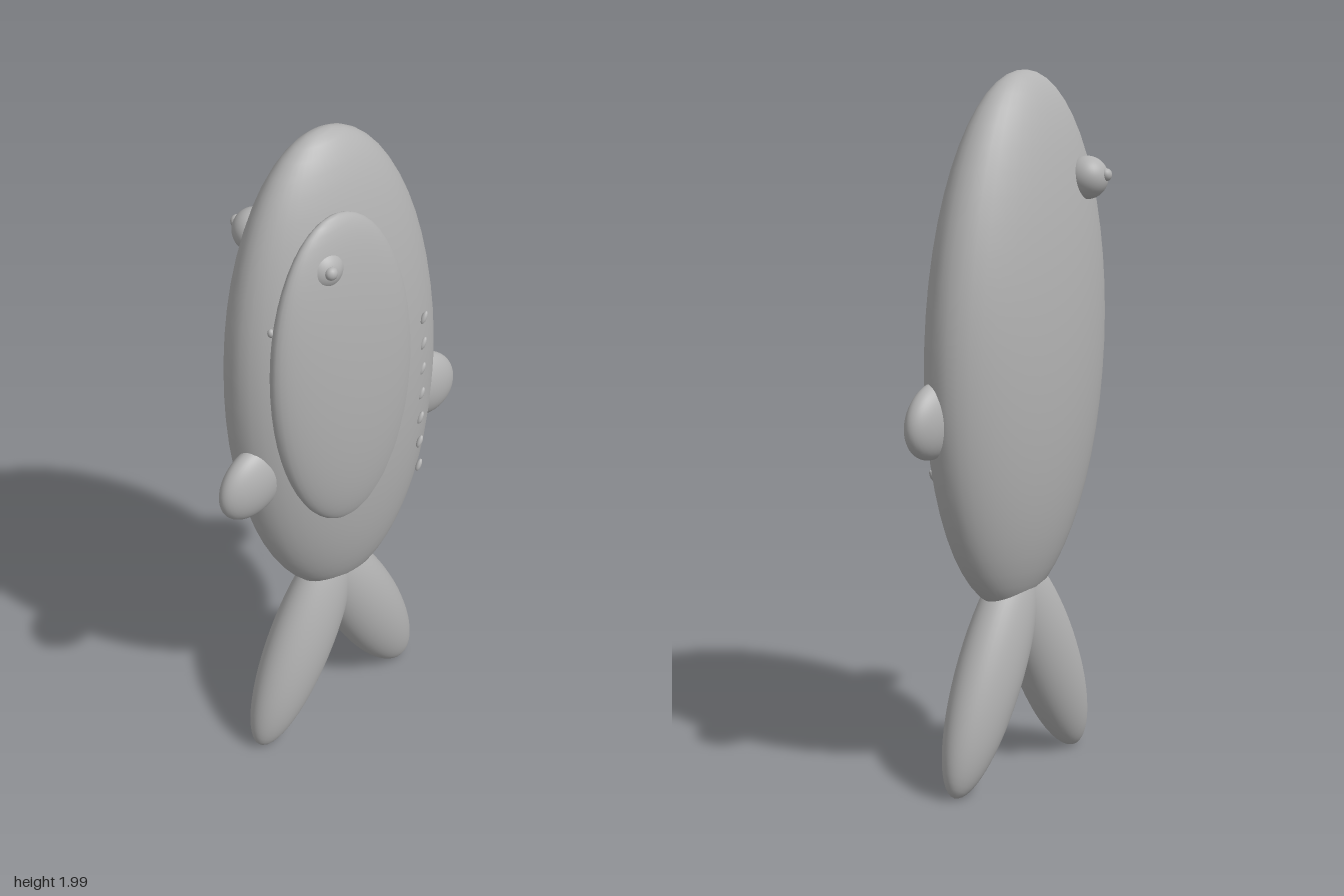
import * as THREE from 'three';

const grey = new THREE.MeshStandardMaterial({ color: 0xb2b2b2 });
grey.name = 'grey';
const unitSphere = new THREE.SphereGeometry(1, 40, 28);
const smallSphere = new THREE.SphereGeometry(1, 16, 12);

// Ellipsoid with half sizes, tilted about z
function ellipsoid(name, center, half, tilt = 0, geometry = unitSphere) {
  const mesh = new THREE.Mesh(geometry, grey);
  mesh.name = name;
  mesh.position.set(...center);
  mesh.scale.set(...half);
  mesh.rotation.z = tilt;
  return mesh;
}

export function createModel() {
  const model = new THREE.Group();
  model.name = 'fish';

  // Flattened upright body and the raised face on its front
  model.add(ellipsoid('body', [0, 1.25, 0], [0.357, 0.75, 0.17], 0.06));
  model.add(ellipsoid('facePatch', [-0.075, 1.34, 0.12], [0.248, 0.495, 0.071], 0.09));

  // Side fins and tail lobes, mirrored
  for (const s of [1, -1]) {
    const side = s > 0 ? 'left' : 'right';
    model.add(ellipsoid(side + 'Fin', [s * 0.325, 1.07, 0.036], [0.121, 0.099, 0.053], -s * 0.57));
    model.add(ellipsoid(side + 'TailLobe', [s * 0.125, 0.342, 0], [0.115, 0.3755, 0.085], s * 0.479));
  }

  // An eye with its pupil on each flat side
  for (const s of [1, -1]) {
    const side = s > 0 ? 'front' : 'back';
    const z = s > 0 ? 0.118 : -0.126;
    model.add(ellipsoid(side + 'Eye', [-0.155, 1.705, z], [0.06, 0.06, 0.06]));
    model.add(ellipsoid(side + 'Pupil', [-0.168, 1.713, z + s * 0.055], [0.018, 0.018, 0.016], 0, smallSphere));
  }

  // Row of small slanted marks along the front
  for (let i = 0; i < 7; i++) {
    model.add(ellipsoid('sideMark', [0.213, 1.394 - i * 0.084, 0.136], [0.008, 0.019, 0.008], -0.5, smallSphere));
  }

  // Tiny mark beside the face
  model.add(ellipsoid('cheekMark', [-0.303, 1.56, 0.095], [0.009, 0.012, 0.009], 0, smallSphere));

  return model;
}
